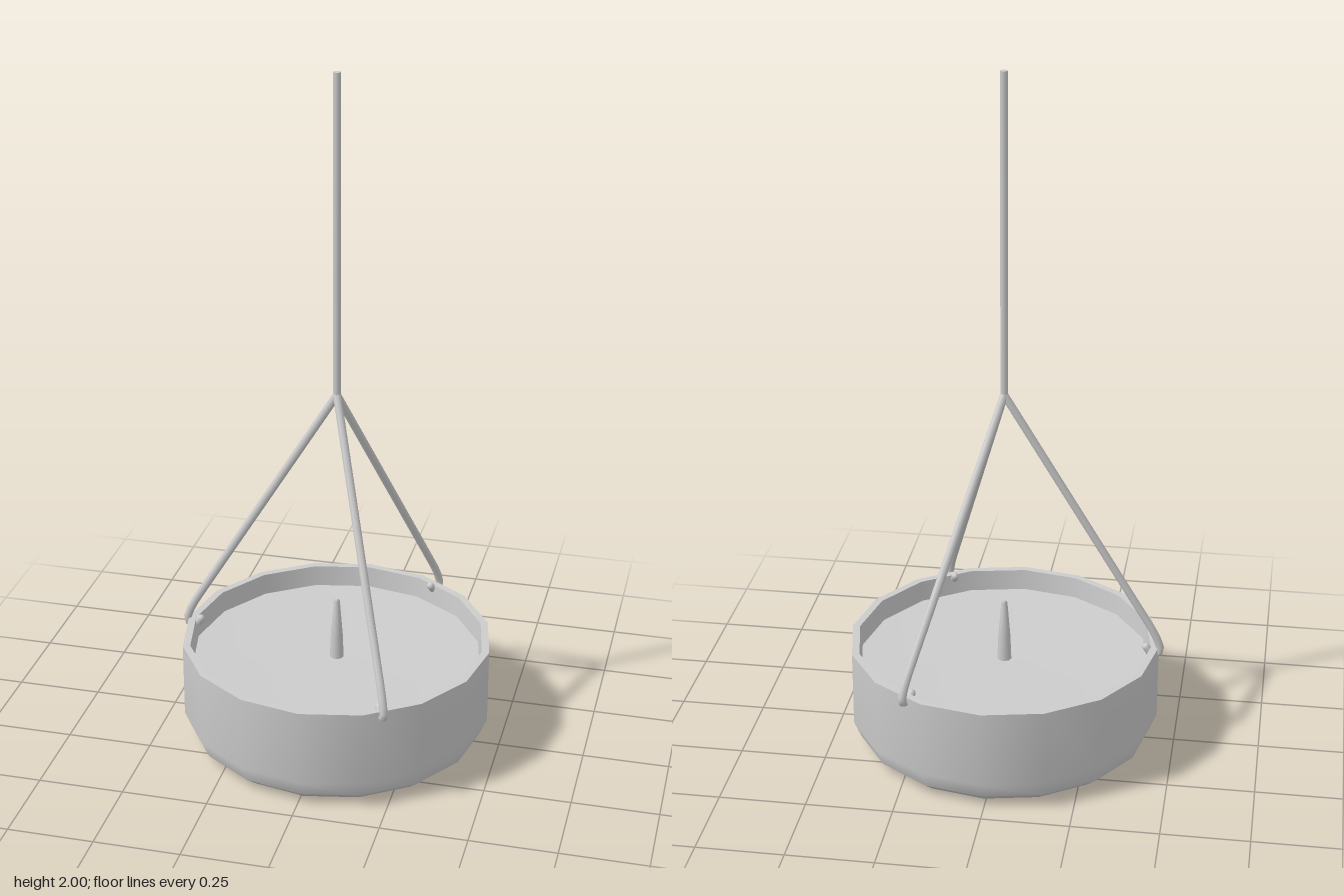
import * as THREE from 'three';

export function createModel() {
  const model = new THREE.Group();
  model.name = 'hangingPricketPan';
  model.position.x = 0.0075;
  const metal = new THREE.MeshStandardMaterial({ color: 0xcccccc });
  metal.name = 'grey metal';

  const add = (name, geometry, parent = model) => {
    const mesh = new THREE.Mesh(geometry, metal);
    mesh.name = name;
    parent.add(mesh);
    return mesh;
  };
  const lathe = (name, sides, points) => add(name,
    new THREE.LatheGeometry(points.map(([r, y]) => new THREE.Vector2(r, y)), sides));

  // Pan: each smooth zone is its own surface, so the edges between them stay sharp
  const outer = 0.455, inner = 0.433, rimY = 0.306, floorR = 0.427, floorY = 0.243;
  lathe('panUnderside', 16, [[0, 0], [0.4, 0.002], [0.434, 0.03]]);
  lathe('panOuterWall', 16, [[0.434, 0.03], [outer, 0.08], [outer, rimY]]);
  lathe('panRim', 16, [[outer, rimY], [inner, rimY]]);
  lathe('panInnerWall', 16, [[inner, rimY], [floorR, floorY]]);
  lathe('panFloor', 16, [[floorR, floorY], [0.3, 0.238], [0, 0.234]]);

  // Candle spike in the middle of the floor
  lathe('spike', 8, [[0.021, 0.23], [0.018, 0.31], [0.009, 0.42], [0, 0.426]]);

  // Straight hanging rod
  add('hangingRod', new THREE.CylinderGeometry(0.011, 0.011, 0.94, 8)).position.y = 1.53;

  // Three support wires, each hooked through the wall of the pan
  const wireRadius = 0.0118;
  const joint = new THREE.Vector3(0, 1.075, 0);
  const bend = new THREE.Vector3(0.431, 0.37, 0);
  const tip = new THREE.Vector3(0.418, 0.305, 0);
  const hookPath = new THREE.CurvePath();
  hookPath.add(new THREE.LineCurve3(joint, bend));
  hookPath.add(new THREE.CatmullRomCurve3([
    bend,
    new THREE.Vector3(0.45, 0.332, 0),
    new THREE.Vector3(0.459, 0.298, 0),
    new THREE.Vector3(0.449, 0.285, 0),
    new THREE.Vector3(0.43, 0.29, 0),
    tip,
  ]));
  const wireGeometry = new THREE.TubeGeometry(hookPath, 60, wireRadius, 8);
  const tipGeometry = new THREE.SphereGeometry(wireRadius, 8, 6);
  for (let i = 0; i < 3; i++) {
    const support = new THREE.Group();
    support.name = 'supportWire' + (i + 1);
    add('hookedWire', wireGeometry, support);
    // Rounded end of the hook inside the rim
    add('hookTip', tipGeometry, support).position.copy(tip);
    support.rotation.y = Math.PI / 3 + i * Math.PI * 2 / 3;
    model.add(support);
  }

  return model;
}
